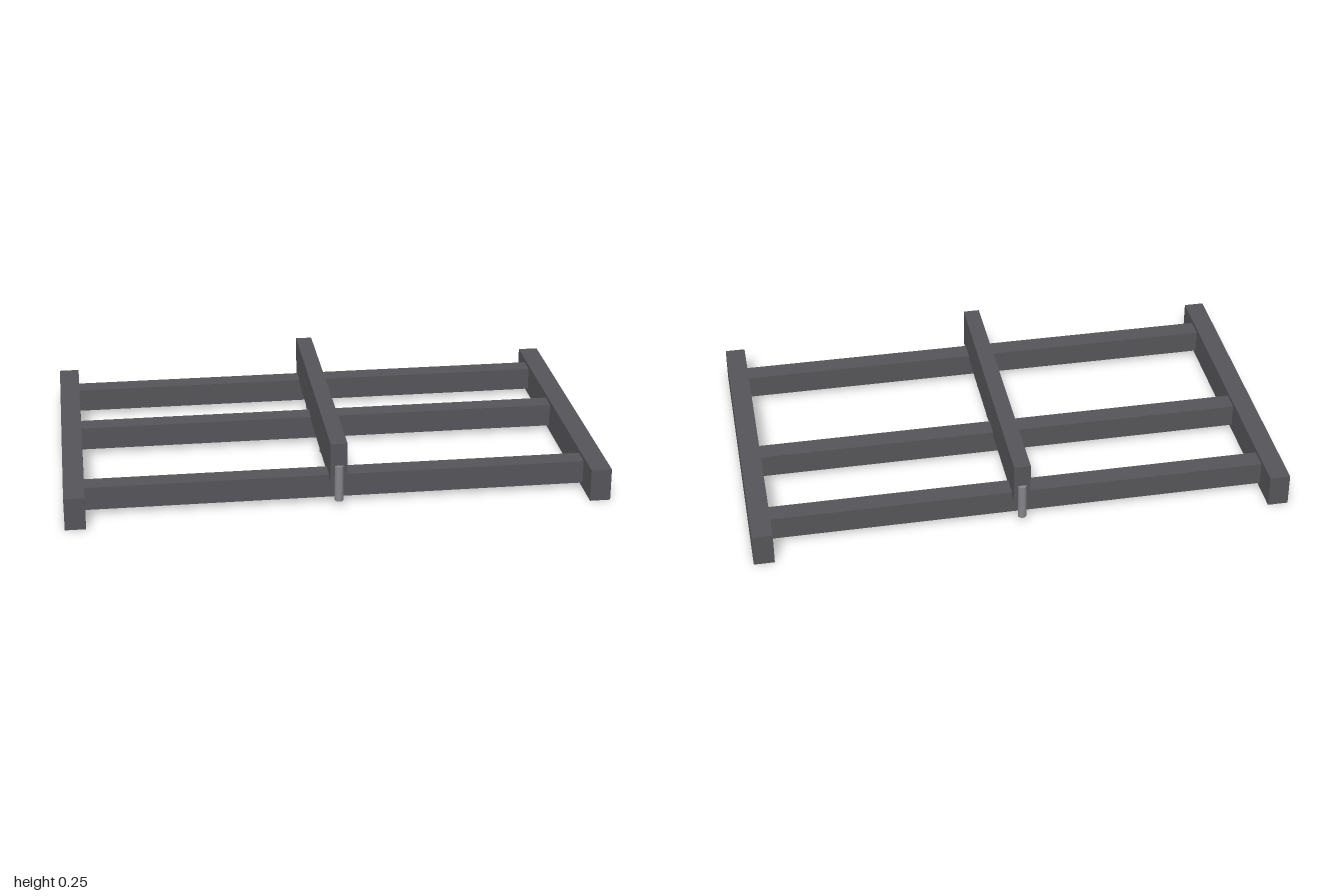
import * as THREE from 'three';

export function createModel() {
  const model = new THREE.Group();
  model.name = 'frame';

  const darkSteel = new THREE.MeshStandardMaterial({ color: 0x555458 });
  darkSteel.name = 'darkSteel';
  const pinSteel = new THREE.MeshStandardMaterial({ color: 0x85858a });
  pinSteel.name = 'pinSteel';

  // Box given by its centre in x and z, its bottom and its size
  function bar(name, x, bottom, z, w, h, d) {
    const mesh = new THREE.Mesh(new THREE.BoxGeometry(w, h, d), darkSteel);
    mesh.name = name;
    mesh.position.set(x, bottom + h / 2, z);
    model.add(mesh);
  }

  // Side rails
  bar('leftRail', 0.962, 0, 0, 0.076, 0.123, 1.23);
  bar('rightRail', -0.962, 0, 0, 0.076, 0.123, 1.23);

  // Cross bars between the rails
  bar('backCrossBar', 0, 0.02, -0.465, 1.848, 0.088, 0.076);
  bar('middleCrossBar', 0, 0.02, -0.08, 1.848, 0.088, 0.076);
  bar('frontCrossBar', 0, 0.02, 0.46, 1.848, 0.088, 0.076);

  // Raised centre beam
  bar('centreBeam', 0, 0.092, 0, 0.062, 0.156, 1.078);

  // Row of pins under the beam; the end pins sit half outside it
  const pinGeometry = new THREE.CylinderGeometry(0.016, 0.016, 0.138, 12);
  for (let i = 0; i < 6; i++) {
    const pin = new THREE.Mesh(pinGeometry, pinSteel);
    pin.name = 'pin' + (i + 1);
    pin.position.set(0, 0.093, -0.539 + i * 0.2156);
    model.add(pin);
  }

  return model;
}
